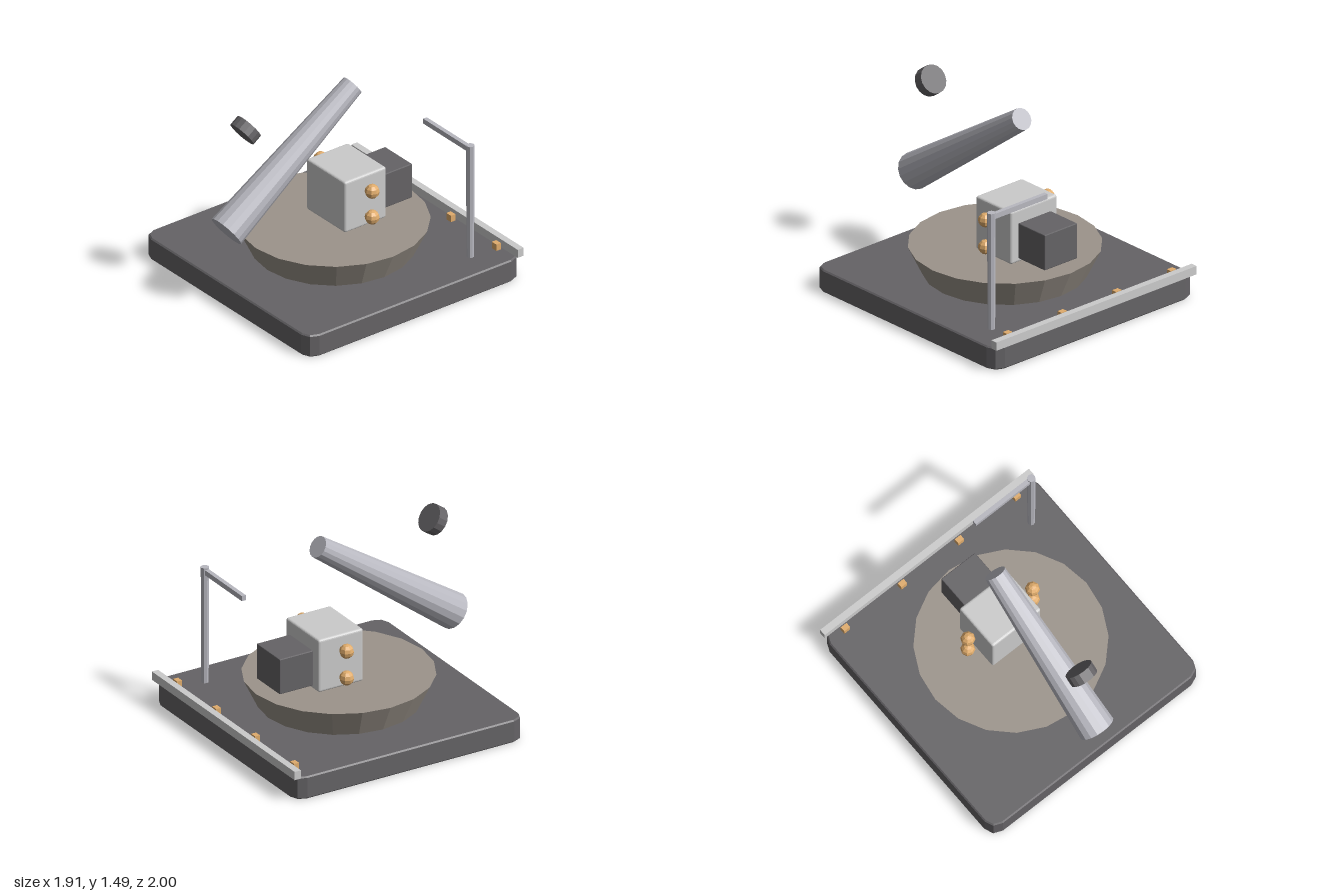
import * as THREE from 'three';
import { RoundedBoxGeometry } from 'three/addons/geometries/RoundedBoxGeometry.js';

const mat = (color) => new THREE.MeshStandardMaterial({ color, flatShading: true });

export function createModel() {
  const model = new THREE.Group();
  const dark = mat(0x656366);
  const stone = mat(0x9c948b);
  const grey = mat(0xcccccc);
  const steel = mat(0xb8b8c0);
  const brass = mat(0xe0ac6c);

  const add = (name, geometry, material, x, y, z) => {
    const mesh = new THREE.Mesh(geometry, material);
    mesh.name = name;
    mesh.position.set(x, y, z);
    model.add(mesh);
    return mesh;
  };
  const box = (w, h, d) => new THREE.BoxGeometry(w, h, d);

  // base slab with rounded corners and a fine edge bevel
  const bevel = 0.01, w = 0.955 - bevel, r = 0.085;
  const outline = new THREE.Shape();
  outline.absarc(w - r, w - r, r, 0, Math.PI / 2);
  outline.absarc(r - w, w - r, r, Math.PI / 2, Math.PI);
  outline.absarc(r - w, r - w, r, Math.PI, Math.PI * 1.5);
  outline.absarc(w - r, r - w, r, Math.PI * 1.5, Math.PI * 2);
  const slab = new THREE.ExtrudeGeometry(outline, {
    depth: 0.175 - 2 * bevel, curveSegments: 1,
    bevelSize: bevel, bevelThickness: bevel, bevelSegments: 1,
  });
  slab.rotateX(-Math.PI / 2);
  add('base', slab, dark, 0, bevel, -0.03);

  // flared turntable
  add('turntable', new THREE.CylinderGeometry(0.692, 0.59, 0.212, 20), stone, 0, 0.281, -0.035);

  // breech block with the motor housing behind it
  add('breechBlock', new RoundedBoxGeometry(0.445, 0.412, 0.375, 2, 0.018), grey, 0, 0.594, -0.155);
  add('rearHousing', new RoundedBoxGeometry(0.31, 0.275, 0.28, 1, 0.006), dark, 0, 0.558, -0.485);

  // ball bolts on both sides of the block
  for (const side of [1, -1])
    for (const y of [0.7, 0.49])
      add('bolt', new THREE.SphereGeometry(0.054, 8, 6), brass, side * 0.296, y, -0.155);

  // tapered barrel and the detached cap, both on the same slant
  const slant = -0.959;
  add('barrel', new THREE.CylinderGeometry(0.082, 0.137, 1.385, 16), steel, 0, 1.016, 0.356).rotation.x = slant;
  add('cap', new THREE.CylinderGeometry(0.108, 0.108, 0.08, 16), dark, 0, 1.383, 0.75).rotation.x = slant;

  // crane post with a side arm
  add('post', new THREE.CylinderGeometry(0.031, 0.027, 0.905, 8), steel, 0.73, 0.6275, -0.697);
  add('arm', box(0.52, 0.04, 0.033), steel, 0.47, 1.048, -0.697);

  // back rail and its row of studs
  add('rail', box(1.912, 0.065, 0.052), grey, 0, 0.2075, -0.973);
  for (let i = 0; i < 4; i++)
    add('stud', box(0.053, 0.052, 0.04), brass, -0.802 + i * 0.522, 0.205, -0.904);

  return model;
}
